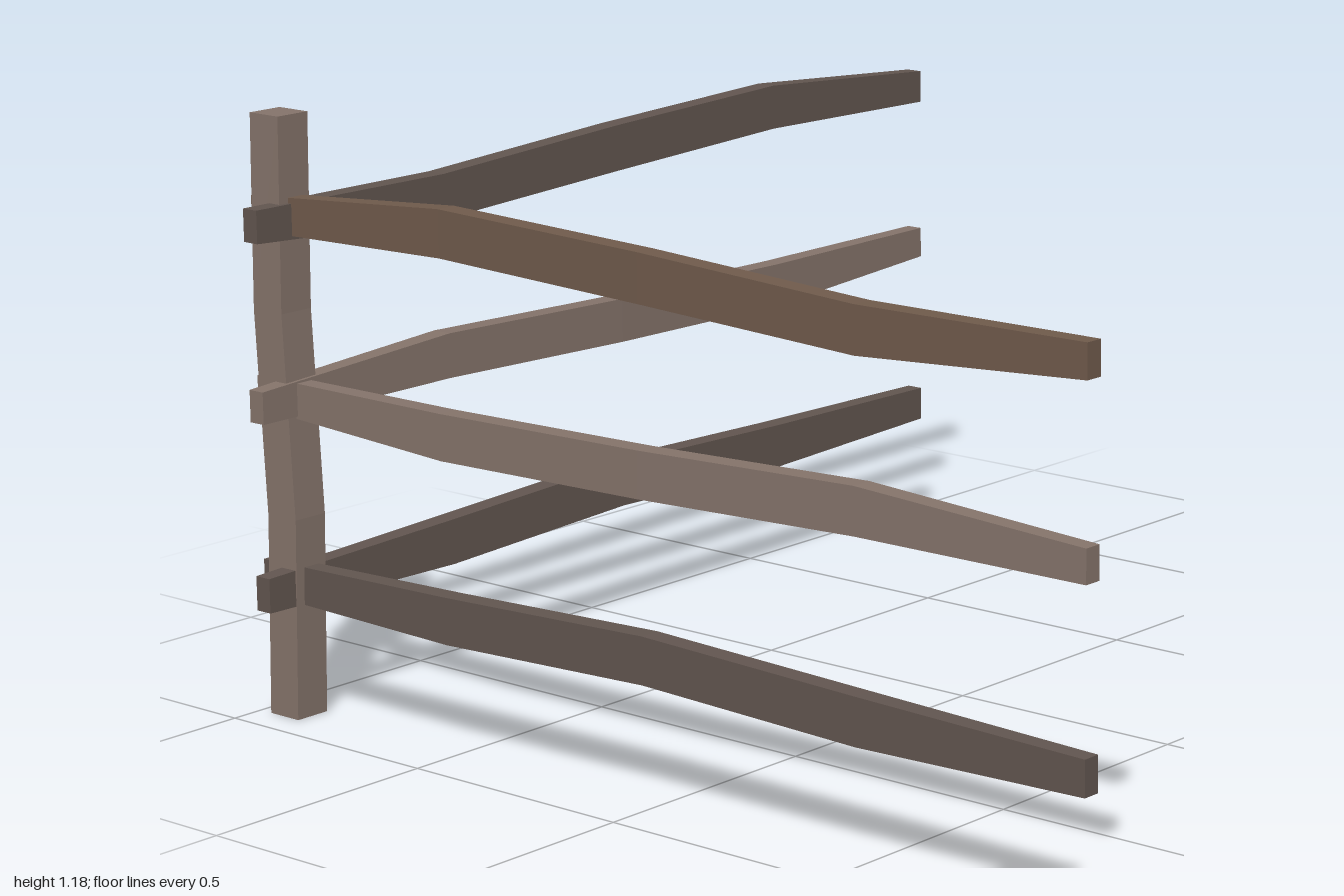
import * as THREE from 'three';

const LIGHT = 0x84736a, BROWN = 0x6f5a4b, DARK = 0x61554f;

function addMesh(parent, geometry, color, name) {
  const mesh = new THREE.Mesh(geometry, new THREE.MeshStandardMaterial({ color, flatShading: true }));
  mesh.name = name;
  parent.add(mesh);
  return mesh;
}

// Rail along +x: each of five sections is [bottom, top, sideways shift].
function railGeometry(sections) {
  const geometry = new THREE.BoxGeometry(2, 1, 1, 4, 1, 1);
  const p = geometry.attributes.position;
  for (let i = 0; i < p.count; i++) {
    const k = Math.round((p.getX(i) + 1) * 2);
    const [bottom, top, shift] = sections[k];
    const thickness = k === 0 || k === 4 ? 0.036 : 0.043;
    p.setY(i, p.getY(i) > 0 ? top : bottom);
    p.setZ(i, p.getZ(i) * thickness + shift);
  }
  geometry.computeVertexNormals();
  return geometry;
}

// Slightly crooked square post, bent at two heights.
function postGeometry() {
  const heights = [0, 0.4, 0.8, 1.18];
  const bend = [0, 0.012, -0.008, 0];
  const geometry = new THREE.BoxGeometry(0.076, 3, 0.076, 1, 3, 1);
  const p = geometry.attributes.position;
  for (let i = 0; i < p.count; i++) {
    const k = Math.round(p.getY(i) + 1.5);
    p.setX(i, p.getX(i) + bend[k]);
    p.setY(i, heights[k]);
  }
  geometry.computeVertexNormals();
  return geometry;
}

export function createModel() {
  const group = new THREE.Group();
  group.name = 'cornerFence';

  const post = addMesh(group, postGeometry(), LIGHT, 'cornerPost');
  post.position.set(-0.933, 0, 0.894);

  // Wavy rails shared by both sides of the corner.
  const rails = [
    { name: 'bottomRail', front: DARK, side: DARK,
      sections: [[0.23, 0.3, 0], [0.22, 0.312, 0.002], [0.238, 0.33, 0.005], [0.22, 0.312, 0], [0.23, 0.298, 0]] },
    { name: 'middleRail', front: LIGHT, side: LIGHT,
      sections: [[0.6, 0.664, 0], [0.575, 0.665, 0.004], [0.585, 0.675, 0.008], [0.6, 0.69, 0.002], [0.6, 0.663, 0]] },
    { name: 'topRail', front: BROWN, side: DARK,
      sections: [[0.947, 1.015, 0], [0.957, 1.049, -0.004], [0.94, 1.034, 0], [0.918, 1.008, -0.002], [0.948, 1.012, 0]] },
  ];

  for (const { name, front, side, sections } of rails) {
    const frontRail = addMesh(group, railGeometry(sections), front, name + 'Front');
    frontRail.position.z = 0.892;

    // Side rails run along z and lean a little outward towards the back.
    const lean = sections.map(([b, t, s], k) => [b, t, -s + 0.0105 * (2 - k)]);
    const sideRail = addMesh(group, railGeometry(lean), side, name + 'Side');
    sideRail.rotation.y = -Math.PI / 2;
    sideRail.position.x = -0.927 + 0.01;
    // Quarter turn maps +x to +z and +z to -x.
    sideRail.position.x -= 0.01;
  }
  return group;
}
